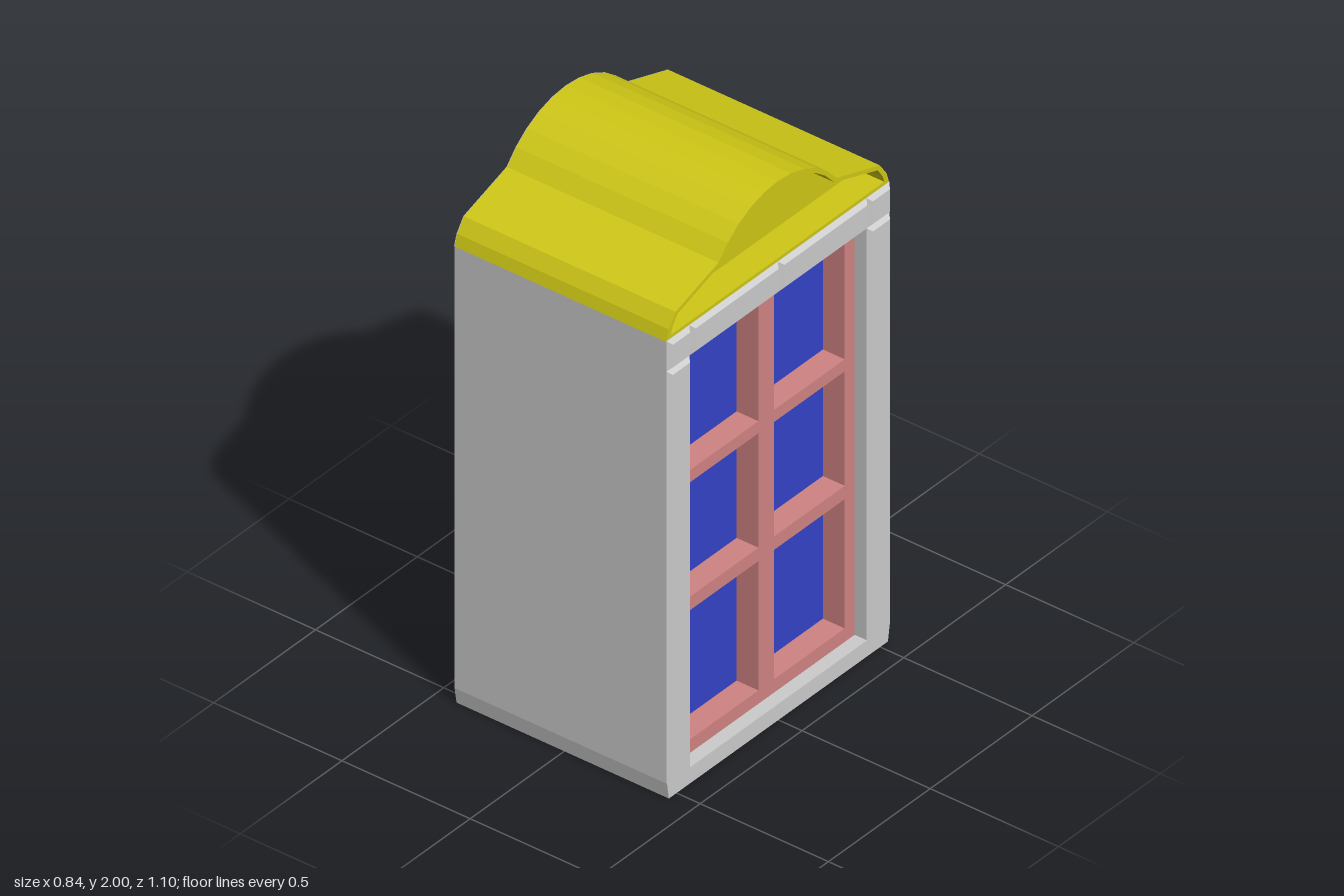
import * as THREE from 'three';

const mat = (color) =>
  new THREE.MeshStandardMaterial({ color, flatShading: true, side: THREE.DoubleSide });

const W = 0.548;      // half width of the body along z
const BACK = -0.42;   // open end
const FACE = 0.405;   // end of walls and roof

export function createModel() {
  const group = new THREE.Group();
  const grey = mat(0xcccccc), olive = mat(0xcfc716), pink = mat(0xcf8382), blue = mat(0x3342c7);

  const add = (name, geometry, material) => {
    const mesh = new THREE.Mesh(geometry, material);
    mesh.name = name;
    group.add(mesh);
    return mesh;
  };
  const toShape = (pts) => new THREE.Shape(pts.map(([a, b]) => new THREE.Vector2(a, b)));
  const rect = (z0, z1, y0, y1) => [[z0, y0], [z1, y0], [z1, y1], [z0, y1]];

  // Extrude a z/y outline along x
  const prism = (shape, x0, x1) =>
    new THREE.ExtrudeGeometry(shape, { depth: x1 - x0, bevelEnabled: false })
      .rotateY(Math.PI / 2).translate(x0, 0, 0);

  // Thin open sheet swept along x
  const sheet = (profile, x0, x1) => {
    const pos = [];
    for (let i = 0; i < profile.length - 1; i++) {
      const [za, ya] = profile[i], [zb, yb] = profile[i + 1];
      pos.push(x0, ya, za, x0, yb, zb, x1, yb, zb, x0, ya, za, x1, yb, zb, x1, ya, za);
    }
    const g = new THREE.BufferGeometry();
    g.setAttribute('position', new THREE.Float32BufferAttribute(pos, 3));
    g.computeVertexNormals();
    return g;
  };

  // Stone block with chamfered edges on its face
  const block = (name, z0, z1, y0, y1) => {
    const b = 0.014;
    const g = new THREE.ExtrudeGeometry(toShape(rect(z0 + b, z1 - b, y0 + b, y1 - b)), {
      depth: 0.1, bevelEnabled: true, bevelSegments: 1, bevelSize: b, bevelThickness: b,
    }).rotateY(Math.PI / 2).translate(0.42 - b - 0.1, 0, 0);
    add(name, g, grey);
  };

  // Walls and floor, tucked in slightly at the foot
  add('wallsAndFloor', sheet(
    [[W, 1.7], [W, 0.06], [0.538, 0], [-0.538, 0], [-W, 0.06], [-W, 1.7]], BACK, FACE), grey);

  // Stone surround: jambs, corner blocks, lintels and sill
  for (const s of [1, -1]) {
    const span = (a, b) => (s > 0 ? [a, b] : [-b, -a]);
    block('jamb', ...span(0.435, 0.547), 0.058, 1.59);
    block('cornerBlock', ...span(0.435, 0.547), 1.59, 1.702);
    block('lintel', ...span(0, 0.435), 1.59, 1.702);
  }
  add('sill', prism(toShape([[-0.538, 0], [0.538, 0], [0.547, 0.06], [-0.547, 0.06]]), 0.28, 0.408), grey);

  // Window frame with six openings, panes behind
  const frame = toShape(rect(-0.435, 0.435, 0.06, 1.59));
  for (const [y0, y1] of [[0.11, 0.59], [0.64, 1.065], [1.11, 1.537]]) {
    for (const [z0, z1] of [[-0.386, -0.038], [0.038, 0.386]]) {
      frame.holes.push(new THREE.Path(toShape(rect(z0, z1, y0, y1)).getPoints()));
      const pane = new THREE.PlaneGeometry(z1 - z0, y1 - y0).rotateY(Math.PI / 2);
      add('pane', pane.translate(0.275, (y0 + y1) / 2, (z0 + z1) / 2), blue);
    }
  }
  add('windowFrame', prism(frame, 0.27, 0.36), pink);

  // Roof outline: sloped eaves meeting a faceted arch
  const roofLine = (eaves, radius) => {
    const half = eaves.slice();
    const max = Math.asin(0.8);
    for (let i = 5; i >= 0; i--) {
      const a = (max * i) / 5;
      half.push([radius * Math.sin(a), 1.6375 + radius * Math.cos(a)]);
    }
    return [...half, ...half.slice(0, -1).reverse().map(([z, y]) => [-z, y])];
  };
  const outer = roofLine([[W, 1.7], [0.535, 1.74], [0.502, 1.787]], 0.3625);
  const inner = roofLine([[0.528, 1.7], [0.517, 1.736], [0.492, 1.774]], 0.347);
  add('roof', prism(toShape([...outer, ...inner.slice().reverse()]), BACK, FACE), olive);

  // Recessed gable above the window and the ledge in front of it
  add('gable', new THREE.ShapeGeometry(toShape(inner)).rotateY(Math.PI / 2).translate(0.3, 0, 0), olive);
  add('gableLedge', prism(toShape(rect(-0.527, 0.527, 1.7, 1.714)), 0.3, FACE), olive);

  // Plain gable closing the rear end of the roof
  add('rearGable', new THREE.ShapeGeometry(toShape(outer)).rotateY(-Math.PI / 2).translate(BACK - 0.002, 0, 0), grey);

  return group;
}
